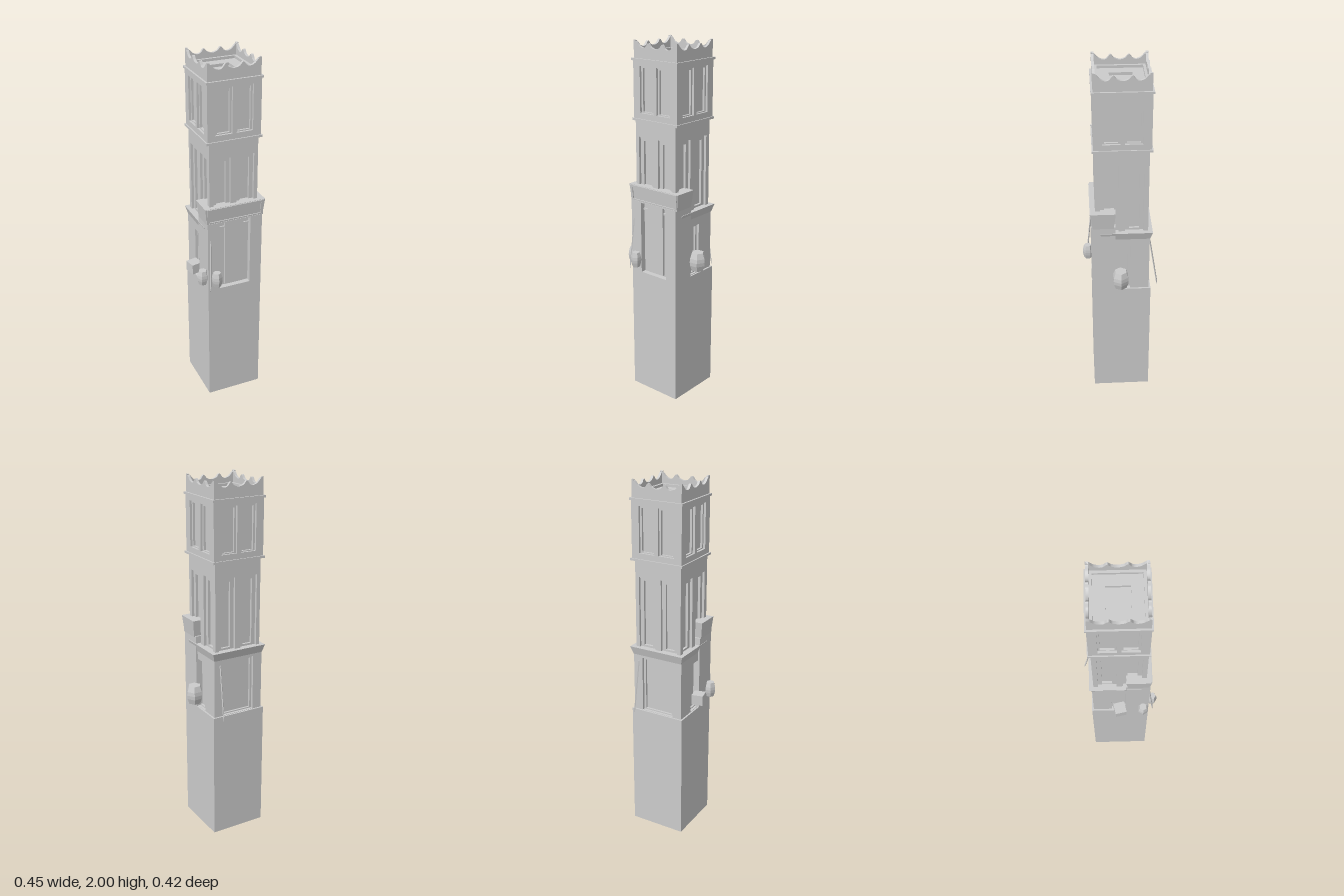
import * as THREE from 'three';

const mat = new THREE.MeshStandardMaterial({ color: 0xcccccc, flatShading: true });
const CX = -0.01, CZ = -0.007; // tower axis

function add(parent, name, geo, x = 0, y = 0, z = 0) {
  const m = new THREE.Mesh(geo, mat);
  m.name = name;
  m.position.set(x, y, z);
  parent.add(m);
  return m;
}

const box = (w, h, d) => new THREE.BoxGeometry(w, h, d);

// Box whose top is wider than its bottom
function flaredBox(w, d, h, flare) {
  const g = box(w, h, d), p = g.attributes.position;
  for (let i = 0; i < p.count; i++) {
    if (p.getY(i) < 0) continue;
    p.setX(i, p.getX(i) + Math.sign(p.getX(i)) * flare);
    p.setZ(i, p.getZ(i) + Math.sign(p.getZ(i)) * flare);
  }
  g.computeVertexNormals();
  return g;
}

// Upright slab with rectangular openings [x0, x1, y0, y1]
function slab(x0, x1, y0, y1, t, holes) {
  const rect = (P, a, b, c, d) => new P().moveTo(a, c).lineTo(b, c).lineTo(b, d).lineTo(a, d).closePath();
  const s = new THREE.Shape();
  s.moveTo(x0, y0).lineTo(x1, y0).lineTo(x1, y1).lineTo(x0, y1).closePath();
  s.holes = holes.map(h => rect(THREE.Path, ...h));
  return new THREE.ExtrudeGeometry(s, { depth: t, bevelEnabled: false });
}

// Four-sided storey: pierced layers over a solid core. openings[side] for +z, +x, -z, -x
function storey(root, name, cx, cz, w, d, y0, y1, layers, openings) {
  const g = new THREE.Group();
  g.name = name;
  g.position.set(cx, 0, cz);
  root.add(g);
  let off = 0;
  for (const { t, inset } of layers) {
    for (let i = 0; i < 4; i++) {
      const side = i % 2;
      const half = (side ? d / 2 - t : w / 2) - off;
      const holes = openings[i].map(([a, b, c, e]) => [a + inset, b - inset, c + inset * 0.5, e - inset]);
      const geo = slab(-half, half, y0, y1, t, holes);
      geo.translate(0, 0, (side ? w : d) / 2 - off - t);
      add(g, name + 'Wall', geo).rotation.y = i * Math.PI / 2;
    }
    off += t;
  }
  add(g, name + 'Core', box(w - 2 * off, y1 - y0, d - 2 * off), 0, (y0 + y1) / 2, 0);
  return g;
}

// Six-sided cask with a bulging belly
function cask(root, name, r, h, x, y, z, turn) {
  const pts = [[0, -0.5], [0.72, -0.5], [0.95, -0.2], [1, 0], [0.95, 0.2], [0.72, 0.5], [0, 0.5]];
  const geo = new THREE.LatheGeometry(pts.map(([a, b]) => new THREE.Vector2(a * r, b * h)), 6);
  add(root, name, geo, x, y, z).rotation.y = turn;
}

// Thin pole with a pointed foot between two points
function pole(root, name, from, to) {
  const a = new THREE.Vector3(...from), b = new THREE.Vector3(...to);
  const len = a.distanceTo(b);
  const pts = [[0, 0], [0.004, len * 0.12], [0.004, len * 0.97], [0, len]];
  const geo = new THREE.LatheGeometry(pts.map(p => new THREE.Vector2(...p)), 4);
  add(root, name, geo, ...from).quaternion.setFromUnitVectors(
    new THREE.Vector3(0, 1, 0), b.sub(a).normalize());
}

export function createModel() {
  const root = new THREE.Group();
  root.name = 'tower';

  // Plain base block
  add(root, 'base', box(0.317, 0.725, 0.325), -0.0115, 0.3625, -0.0025);

  // Entrance block with a recessed doorway in front
  storey(root, 'entranceBlock', -0.0115, 0.095, 0.317, 0.13, 0.725, 1.14,
    [{ t: 0.03, inset: 0 }], [[[-0.09, 0.09, 0.727, 1.135]], [], [], []]);
  add(root, 'doorPanel', box(0.106, 0.40, 0.016), -0.0115, 0.935, 0.135);

  // Body behind the entrance, with an opening on each free side
  storey(root, 'lowerBody', -0.0115, -0.0275, 0.297, 0.255, 0.725, 1.07,
    [{ t: 0.015, inset: 0 }, { t: 0.012, inset: 0.012 }], [
      [],
      [[-0.0725, 0.0225, 0.727, 1.01]],
      [[-0.095, 0.095, 0.727, 1.04]],
      [[-0.0225, 0.0725, 0.727, 1.01]],
    ]);
  add(root, 'lowerCornice', flaredBox(0.298, 0.257, 0.045, 0.013), -0.0105, 1.0775, -0.0285);

  // Flared canopy over the entrance, framed on its face
  add(root, 'canopy', flaredBox(0.325, 0.112, 0.095, 0.010), -0.010, 1.1825, 0.096);
  const frame = slab(-0.163, 0.163, -0.046, 0.046, 0.007, [[-0.148, 0.148, -0.034, 0.034]]);
  add(root, 'canopyFrame', frame, -0.010, 1.1825, 0.155).rotation.x = 0.105;

  // Two upper storeys with paired stepped windows
  const pair = (a, b, y0, y1) => Array(4).fill([[-b, -a, y0, y1], [a, b, y0, y1]]);
  storey(root, 'middleStorey', CX - 0.002, CZ + 0.003, 0.275, 0.284, 1.09, 1.59,
    [{ t: 0.014, inset: 0 }, { t: 0.014, inset: 0.022 }], pair(0.018, 0.116, 1.1, 1.495));
  storey(root, 'upperStorey', CX, CZ, 0.296, 0.296, 1.588, 1.9,
    [{ t: 0.012, inset: 0 }, { t: 0.012, inset: 0.011 }], pair(0.011, 0.103, 1.625, 1.87));
  for (const y of [1.588, 1.902])
    add(root, 'stringCourse', box(0.31, 0.012, 0.31), CX, y, CZ);

  // Scalloped parapet, tall at the corners
  const half = [[-0.145, 2], [-0.128, 1.992], [-0.108, 1.972], [-0.085, 1.963], [-0.066, 1.968],
    [-0.047, 1.988], [-0.028, 1.97], [0, 1.962]];
  const edge = half.concat(half.slice(0, -1).reverse().map(([x, y]) => [-x, y]));
  const crest = new THREE.Shape();
  crest.moveTo(0.145, 1.905).lineTo(-0.145, 1.905).lineTo(-0.145, 2);
  crest.splineThru(edge.slice(1).map(p => new THREE.Vector2(...p)));
  crest.closePath();
  const parapet = new THREE.Group();
  parapet.name = 'parapet';
  parapet.position.set(CX, 0, CZ);
  root.add(parapet);
  for (let i = 0; i < 4; i++) {
    const geo = new THREE.ExtrudeGeometry(crest, { depth: 0.014, bevelEnabled: false, curveSegments: 36 });
    geo.translate(0, 0, 0.131);
    add(parapet, 'parapetWall', geo).rotation.y = i * Math.PI / 2;
  }

  // Stepped roof: ledge around a floor with a sunken square
  const ring = (outer, inner, y, t) => {
    const geo = slab(-outer, outer, -outer, outer, t, [[-inner, inner, -inner, inner]]);
    add(parapet, 'roofStep', geo, 0, y, 0).rotation.x = -Math.PI / 2;
  };
  ring(0.132, 0.117, 1.905, 0.032);
  ring(0.118, 0.059, 1.905, 0.018);

  // Casks, crate and poles around the lower body
  cask(root, 'largeCask', 0.048, 0.105, 0.174, 0.817, 0.004, Math.PI / 2 + 0.05);
  cask(root, 'sideCask', 0.031, 0.085, -0.19, 0.805, 0.128, Math.PI / 2);
  cask(root, 'frontCask', 0.03, 0.085, -0.126, 0.803, 0.179, 0);
  add(root, 'crate', box(0.064, 0.058, 0.064), -0.187, 0.80, -0.004).rotation.y = 0.21;
  pole(root, 'frontPole', [-0.168, 0.73, 0.186], [-0.153, 1.05, 0.156]);
  pole(root, 'backPole', [0.109, 0.713, -0.207], [0.103, 1.03, -0.157]);

  return root;
}
